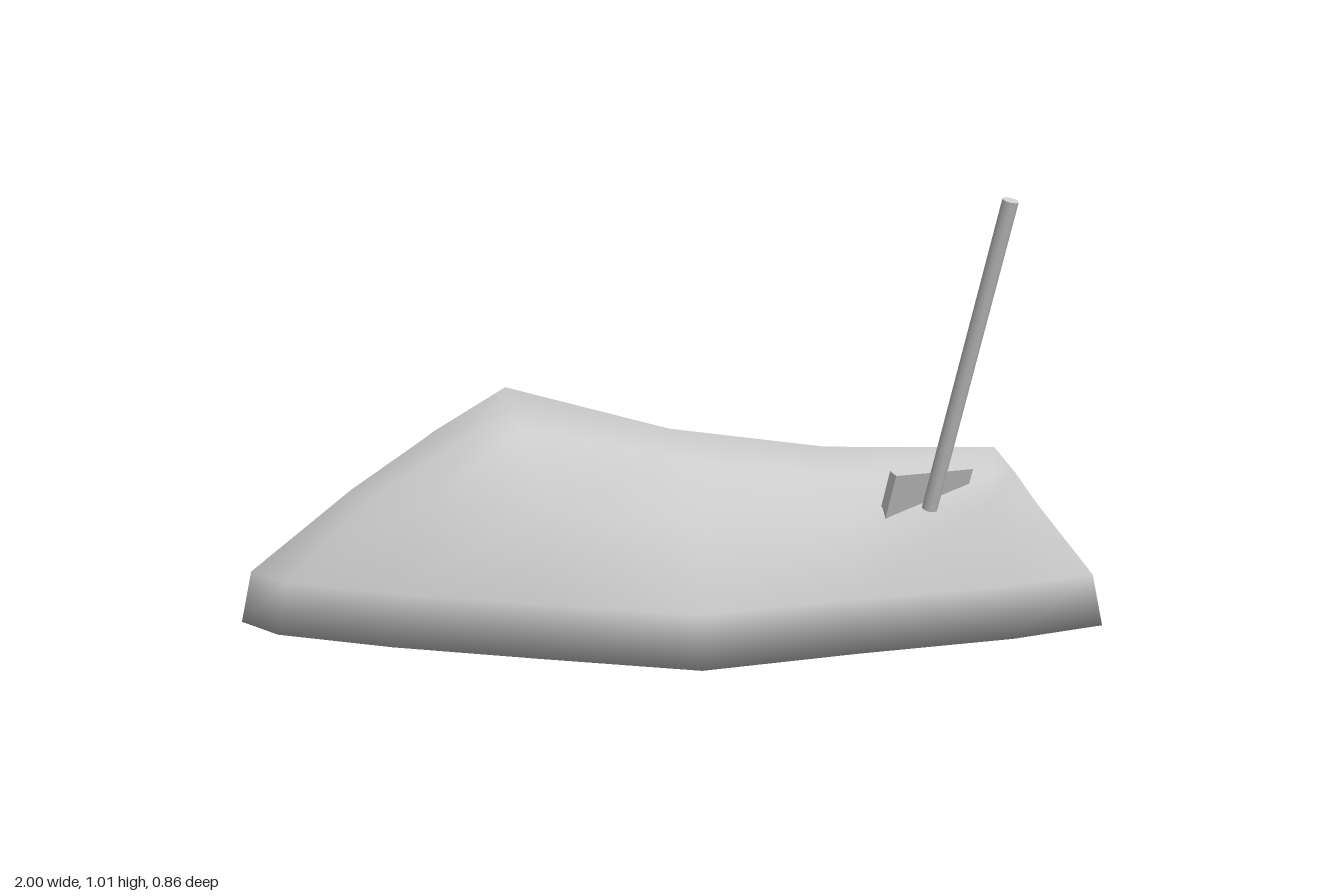
import * as THREE from 'three';

// Mound columns, counterclockwise from the left end:
// base x,z | shoulder x,y,z | upper x,y,z | ridge index
const COLUMNS = [
  [-1, -0.03, -0.74, 0.31, -0.04, -0.57, 0.43, -0.03, 0],
  [-0.9, 0.09, -0.68, 0.31, 0.05, -0.48, 0.46, 0.04, 0],
  [-0.63, 0.21, -0.55, 0.31, 0.13, -0.45, 0.46, 0.06, 0],
  [-0.3, 0.32, -0.3, 0.31, 0.22, -0.34, 0.47, 0.09, 0],
  [0.05, 0.43, 0.05, 0.3, 0.315, 0.02, 0.41, 0.13, 1],
  [0.4, 0.31, 0.4, 0.29, 0.235, 0.38, 0.37, 0.12, 2],
  [0.77, 0.2, 0.7, 0.29, 0.16, 0.73, 0.37, 0.11, 3],
  [1, 0.09, 0.84, 0.29, 0.08, 0.79, 0.36, 0.08, 3],
  [0.96, -0.04, 0.8, 0.3, 0, 0.76, 0.37, 0.03, 3],
  [0.8, -0.16, 0.7, 0.3, -0.09, 0.68, 0.38, -0.01, 3],
  [0.65, -0.27, 0.6, 0.29, -0.18, 0.56, 0.38, -0.08, 2],
  [0.4, -0.36, 0.4, 0.29, -0.28, 0.36, 0.38, -0.15, 2],
  [0.05, -0.43, 0.05, 0.3, -0.325, 0, 0.4, -0.195, 1],
  [-0.4, -0.35, -0.38, 0.31, -0.26, -0.38, 0.47, -0.155, 0],
  [-0.83, -0.27, -0.66, 0.31, -0.18, -0.5, 0.46, -0.1, 0],
  [-0.97, -0.16, -0.72, 0.31, -0.11, -0.55, 0.44, -0.07, 0],
];
const RIDGE = [[-0.38, 0.55, -0.03], [0, 0.45, -0.03], [0.36, 0.41, 0], [0.74, 0.42, 0.08]];

function moundGeometry() {
  const n = COLUMNS.length;
  const pos = [];
  const index = [];
  // four vertices per column: base, low, shoulder, upper
  for (const [bx, bz, sx, sy, sz, ux, uy, uz] of COLUMNS) {
    pos.push(bx, 0, bz, bx * 0.975, 0.12, bz * 0.975, sx, sy, sz, ux, uy, uz);
  }
  RIDGE.forEach((p) => pos.push(...p));
  const ridge = (i) => n * 4 + COLUMNS[i][8];
  const centre = n * 4 + RIDGE.length;
  pos.push(0, 0, 0);

  for (let i = 0; i < n; i++) {
    const j = (i + 1) % n;
    for (let k = 0; k < 3; k++) {
      const a = i * 4 + k, b = j * 4 + k;
      index.push(a, b, b + 1, a, b + 1, a + 1);
    }
    // crest and underside
    index.push(i * 4 + 3, j * 4 + 3, ridge(j));
    if (ridge(i) !== ridge(j)) index.push(i * 4 + 3, ridge(j), ridge(i));
    index.push(centre, j * 4, i * 4);
  }
  const g = new THREE.BufferGeometry();
  g.setAttribute('position', new THREE.Float32BufferAttribute(pos, 3));
  g.setIndex(index);
  g.computeVertexNormals();
  return g;
}

function createShovel(material) {
  const shovel = new THREE.Group();
  shovel.name = 'shovel';

  // long round handle
  const length = 0.74;
  const handle = new THREE.Mesh(new THREE.CylinderGeometry(0.018, 0.018, length, 10), material);
  handle.name = 'handle';
  handle.position.y = length / 2;
  shovel.add(handle);

  // flat blade, its tip buried in the mound
  const outline = new THREE.Shape([
    [-0.108, 0.085], [-0.108, -0.08], [0, -0.17], [0.108, -0.08], [0.108, 0.085],
  ].map(([x, y]) => new THREE.Vector2(x, y)));
  const blade = new THREE.Mesh(
    new THREE.ExtrudeGeometry(outline, { depth: 0.024, bevelEnabled: false }), material);
  blade.name = 'blade';
  blade.position.z = -0.036;
  shovel.add(blade);

  // lean the shovel along its handle direction
  const up = new THREE.Vector3(0.125, 0.7, 0.2).normalize();
  const front = new THREE.Vector3(0.885, 0, -0.466).cross(up).normalize();
  const side = up.clone().cross(front);
  shovel.quaternion.setFromRotationMatrix(new THREE.Matrix4().makeBasis(side, up, front));
  shovel.position.set(0.575, 0.3, 0.185);
  return shovel;
}

export function createModel() {
  const model = new THREE.Group();
  model.name = 'moundWithShovel';
  const material = new THREE.MeshStandardMaterial({ color: 0xcccccc });

  const mound = new THREE.Mesh(moundGeometry(), material);
  mound.name = 'mound';
  model.add(mound, createShovel(material));
  return model;
}
